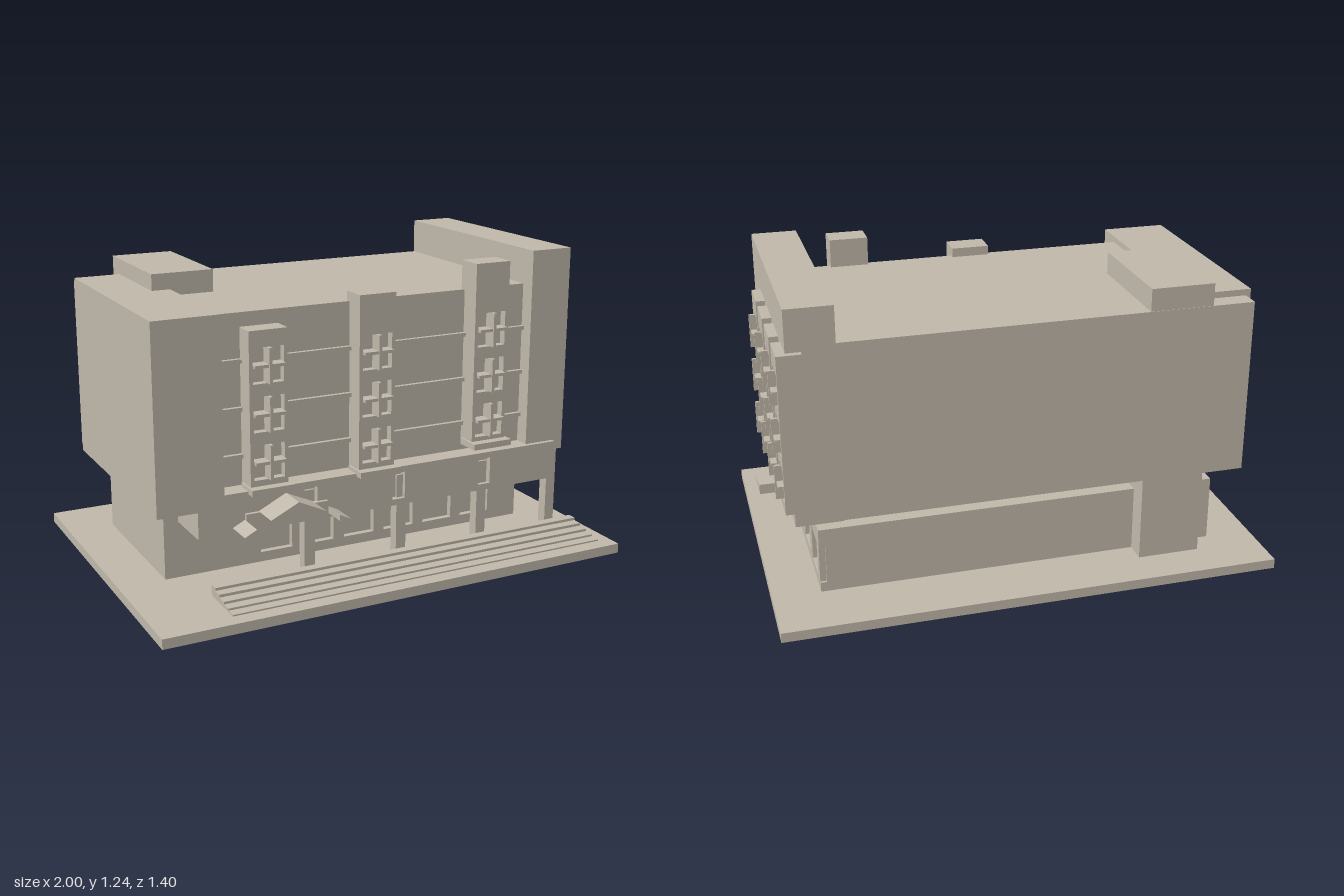
import * as THREE from 'three';

const stone = new THREE.MeshStandardMaterial({ color: 0xbfb7a9 });
stone.name = 'stone';

function add(parent, name, geometry) {
  const mesh = new THREE.Mesh(geometry, stone);
  mesh.name = name;
  parent.add(mesh);
  return mesh;
}

// Box given by its limits on each axis
function block(parent, name, x0, x1, y0, y1, z0, z1) {
  const mesh = add(parent, name, new THREE.BoxGeometry(x1 - x0, y1 - y0, z1 - z0));
  mesh.position.set((x0 + x1) / 2, (y0 + y1) / 2, (z0 + z1) / 2);
  return mesh;
}

function polygon(points) {
  return new THREE.Shape(points.map(([x, y]) => new THREE.Vector2(x, y)));
}

function rect(x0, x1, y0, y1) {
  return [[x0, y0], [x1, y0], [x1, y1], [x0, y1]];
}

// Upright plate with rectangular openings, from z = z0 to z1
function piercedPlate(parent, name, outline, holes, z0, z1) {
  const shape = polygon(outline);
  for (const h of holes) shape.holes.push(polygon(rect(...h).reverse()));
  const mesh = add(parent, name, new THREE.ExtrudeGeometry(shape, { depth: z1 - z0, bevelEnabled: false }));
  mesh.position.z = z0;
  return mesh;
}

// Pilaster facing +z with its face at z = 0, one four-pane window per centre height
function windowPilaster(name, width, y0, y1, depth, centres, winW, winH) {
  const group = new THREE.Group();
  group.name = name;
  const recess = 0.032, gap = 0.006, holes = [];
  for (const c of centres) {
    for (const s of [-1, 1]) {
      const xs = [s * gap, s * winW / 2].sort((a, b) => a - b);
      holes.push([...xs, c + gap, c + winH / 2], [...xs, c - winH / 2, c - gap]);
    }
    // Projecting glazing cross
    block(group, 'windowMullion', -gap, gap, c - winH / 2, c + winH / 2, -recess, 0.025);
    block(group, 'windowTransom', -winW / 2, winW / 2, c - gap, c + gap, -recess, 0.02);
  }
  piercedPlate(group, 'pilasterFace', rect(-width / 2, width / 2, y0, y1), holes, -recess, 0);
  block(group, 'pilasterCore', -width / 2, width / 2, y0, y1, -depth, -recess);
  return group;
}

export function createModel() {
  const model = new THREE.Group();
  model.name = 'building';

  // Plinth and front steps
  block(model, 'plinth', -1, 1, 0, 0.04, -0.7, 0.7);
  [[0.637, 0.046], [0.595, 0.054], [0.553, 0.064], [0.51, 0.075], [0.47, 0.086]].forEach(([z, y], i) =>
    block(model, 'step' + (i + 1), -0.705, 0.945, i ? 0.042 : 0.04, y, 0.432, z));

  // Ground floor: solid core with window walls on the front and right side
  block(model, 'groundFloorCore', -0.81, 0.785, 0.04, 0.31, -0.45, 0.185);
  const frontHoles = [];
  for (let i = 0; i < 6; i++) {
    const x = -0.403 + i * 0.187;
    frontHoles.push([x, x + 0.138, 0.08, 0.245]);
  }
  piercedPlate(model, 'groundFloorFront', rect(-0.81, 0.81, 0.04, 0.31), frontHoles, 0.185, 0.21);
  const sideHoles = [0.083, -0.12, -0.32].map(z => [-z - 0.068, -z + 0.068, 0.08, 0.23]);
  const sideOutline = [[-0.185, 0.04], [0.45, 0.04], [0.45, 0.08], [0.44, 0.08],
    [0.44, 0.23], [0.45, 0.23], [0.45, 0.31], [-0.185, 0.31]];
  piercedPlate(model, 'groundFloorSide', sideOutline, sideHoles, 0, 0.025).rotation.y = Math.PI / 2;
  model.children.at(-1).position.set(0.785, 0, 0);

  // Lift shaft running from the ground through the roof
  block(model, 'liftShaft', -0.73, -0.475, 0.04, 1.19, -0.538, -0.06);

  // Upper storeys and end blocks
  block(model, 'upperStoreys', -0.9, 0.9, 0.39, 1.1, -0.54, 0.345);
  block(model, 'leftEndBlock', -0.92, -0.655, 0.39, 1.125, -0.46, 0.457);
  block(model, 'rightEndBlock', 0.72, 0.902, 0.388, 1.243, -0.542, 0.408);

  // Fascia above the entrance, with small openings
  block(model, 'fasciaCore', -0.75, 0.853, 0.27, 0.43, 0.08, 0.4);
  const slots = [-0.285, 0.103, 0.505].map(x => [x - 0.028, x + 0.028, 0.295, 0.405]);
  piercedPlate(model, 'fasciaFace', rect(-0.75, 0.853, 0.27, 0.43), slots, 0.4, 0.427);

  // Entrance columns
  for (const x of [-0.283, 0.125, 0.505, 0.853])
    block(model, 'column', x - 0.022, x + 0.022, 0.04, 0.389, 0.365, 0.41);

  // Horizontal bands across the front wall
  for (const y of [0.548, 0.732, 0.918])
    block(model, 'wallBand', -0.655, 0.72, y - 0.008, y + 0.008, 0.34, 0.362);

  // Front window towers with sills: x, sill bottom, top, first window centre
  for (const [x, sill, top, first] of [[-0.458, 0.419, 1.045, 0.537], [0, 0.419, 1.137, 0.537], [0.517, 0.46, 1.215, 0.572]]) {
    const centres = [0, 1, 2].map(i => first + i * 0.187);
    const tower = windowPilaster('frontTower', 0.156, sill + 0.02, top, 0.107, centres, 0.126, 0.138);
    tower.position.set(x, 0, 0.429);
    model.add(tower);
    block(model, 'towerSill', x - 0.088, x + 0.088, sill, sill + 0.025, 0.36, 0.466);
  }

  // Window pilasters on the right side
  for (const z of [0.108, -0.093, -0.294, -0.494]) {
    const pilaster = windowPilaster('sidePilaster', 0.145, 0.455, 1.08, 0.093, [0.56, 0.748, 0.935], 0.112, 0.135);
    pilaster.rotation.y = Math.PI / 2;
    pilaster.position.set(0.938, 0, z);
    model.add(pilaster);
  }

  // Entrance canopy: gable top, two eaves ends and a set-back panel
  piercedPlate(model, 'canopyGable', [[-0.505, 0.345], [-0.275, 0.345], [-0.39, 0.4]], [], 0.42, 0.542);
  for (const s of [-1, 1]) {
    const pts = [[0.172, 0.295], [0.222, 0.295], [0.172, 0.32]].map(([x, y]) => [-0.39 + s * x, y]);
    piercedPlate(model, 'canopyEave', pts, [], 0.42, 0.542);
  }
  block(model, 'canopyPanel', -0.562, -0.218, 0.295, 0.345, 0.42, 0.442);

  return model;
}
